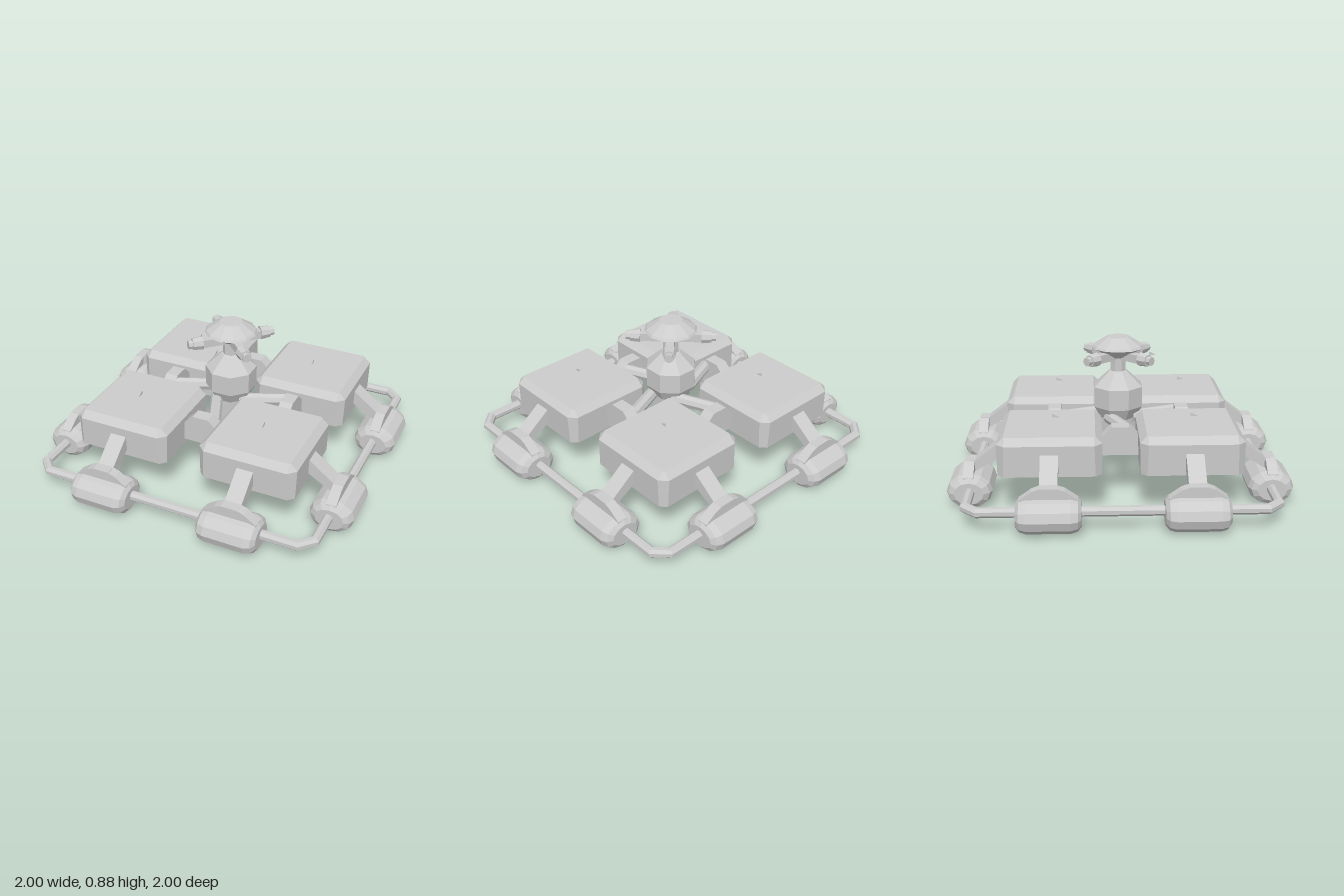
import * as THREE from 'three';

const grey = new THREE.MeshStandardMaterial({ color: 0xcccccc, flatShading: true, side: THREE.DoubleSide });

function add(parent, name, geo, x = 0, y = 0, z = 0) {
  const m = new THREE.Mesh(geo, grey);
  m.name = name;
  m.position.set(x, y, z);
  parent.add(m);
  return m;
}

// Polygon in the xy plane, extruded symmetrically along z
function slab(points, depth) {
  const shape = new THREE.Shape(points.map(p => new THREE.Vector2(...p)));
  return new THREE.ExtrudeGeometry(shape, { depth, bevelEnabled: false }).translate(0, 0, -depth / 2);
}

function lathe(points, sides) {
  return new THREE.LatheGeometry(points.map(p => new THREE.Vector2(...p)), sides);
}

// Square pod with chamfered corners, from [y, half width, chamfer] sections
function podGeometry(sections) {
  const pos = [], index = [];
  for (const [y, h, c] of sections) {
    const k = h - c;
    for (const [x, z] of [[h, -k], [h, k], [k, h], [-k, h], [-h, k], [-h, -k], [-k, -h], [k, -h]]) pos.push(x, y, z);
  }
  const last = (sections.length - 1) * 8;
  for (let s = 0; s < last; s += 8)
    for (let i = 0; i < 8; i++) {
      const a = s + i, b = s + (i + 1) % 8;
      index.push(a, a + 8, b, b, a + 8, b + 8);
    }
  for (let i = 1; i < 7; i++) index.push(0, i, i + 1, last, last + i + 1, last + i);
  const g = new THREE.BufferGeometry();
  g.setAttribute('position', new THREE.Float32BufferAttribute(pos, 3));
  g.setIndex(index);
  g.computeVertexNormals();
  return g;
}

// Mitred tube around a square with cut corners
function ringGeometry(a, b, r, sides) {
  const pos = [], index = [];
  for (let i = 0; i < 8; i++)
    for (let j = 0; j < sides; j++) {
      const t = (j + 0.5) / sides * Math.PI * 2, o = r * Math.cos(t);
      const A = a + o, B = b + 0.414 * o;
      const [x, z] = [[A, -B], [A, B], [B, A], [-B, A], [-A, B], [-A, -B], [-B, -A], [B, -A]][i];
      pos.push(x, r * Math.sin(t), z);
      const n = (j + 1) % sides, k = (i + 1) % 8;
      const p = i * sides + j, q = i * sides + n, u = k * sides + j, v = k * sides + n;
      index.push(p, q, u, q, v, u);
    }
  const g = new THREE.BufferGeometry();
  g.setAttribute('position', new THREE.Float32BufferAttribute(pos, 3));
  g.setIndex(index);
  g.computeVertexNormals();
  return g;
}

export function createModel() {
  const model = new THREE.Group();
  model.name = 'floatingPlatform';

  // Four storage pods with a tiny fin above each
  const pod = podGeometry([[0.25, 0.29, 0.035], [0.43, 0.295, 0.045], [0.47, 0.255, 0.008]]);
  const fin = new THREE.ShapeGeometry(new THREE.Shape([[0.045, 0.505], [0, 0.525], [0, 0.503]].map(p => new THREE.Vector2(...p)))).rotateY(-Math.PI / 2);
  for (const x of [-0.398, 0.398])
    for (const z of [-0.402, 0.395]) {
      add(model, 'pod', pod, x, 0, z);
      add(model, 'podFin', fin, x, 0, z + 0.01);
    }

  // Perimeter tube
  add(model, 'perimeterTube', ringGeometry(0.862, 0.79, 0.029, 8), 0, 0.12, 0);

  // Floats, fairings, struts and crossbars, repeated on the four sides
  const float = lathe([[0, -0.178], [0.085, -0.178], [0.118, -0.158], [0.132, -0.12],
    [0.132, 0.12], [0.118, 0.158], [0.085, 0.178], [0, 0.178]], 12)
    .rotateX(Math.PI / 2).scale(1, 0.77, 1);
  const fairing = slab([[-0.16, 0.17], [0.16, 0.17], [0.16, 0.2], [0.09, 0.25], [0.05, 0.264],
    [-0.05, 0.264], [-0.09, 0.25], [-0.16, 0.2]], 0.06).rotateY(Math.PI / 2);
  const strut = slab([[0.67, 0.3], [0.84, 0.2], [0.9, 0.2], [0.9, 0.265], [0.84, 0.265], [0.69, 0.38], [0.67, 0.38]], 0.1);
  const crossbar = slab([[-0.12, 0.28], [0.12, 0.28], [0.12, 0.385], [0.105, 0.395], [0.05, 0.45],
    [-0.05, 0.45], [-0.105, 0.395], [-0.12, 0.385]], 0.08).rotateY(Math.PI / 2);
  for (let i = 0; i < 4; i++) {
    const side = new THREE.Group();
    side.name = 'side';
    side.rotation.y = i * Math.PI / 2;
    for (const z of [-0.403, 0.403]) {
      add(side, 'float', float, 0.867, 0.11, z);
      add(side, 'floatFairing', fairing, 0.87, 0, z);
      add(side, 'floatStrut', strut, 0, 0, z);
    }
    add(side, 'crossbar', crossbar, 0.39, 0, 0);
    add(side, 'hubSpoke', new THREE.CylinderGeometry(0.038, 0.038, 0.3, 8).rotateX(Math.PI / 8).rotateZ(Math.PI / 2), 0.22, 0.4, 0);
    model.add(side);
  }

  // Octagonal central hub with neck
  const hub = lathe([[0, 0.25], [0.118, 0.25], [0.118, 0.39], [0.157, 0.46], [0.157, 0.585],
    [0.06, 0.675], [0.05, 0.68], [0.05, 0.78], [0, 0.78]], 8).rotateY(Math.PI / 8);
  add(model, 'hub', hub);

  // Domed head
  add(model, 'headDome', lathe([[0, 0.765], [0.06, 0.765], [0.13, 0.81], [0.16, 0.825], [0.15, 0.838],
    [0.07, 0.89], [0, 0.89]], 12));

  // Four diagonal nozzles around the head
  for (let i = 0; i < 4; i++) {
    const nozzle = new THREE.Group();
    nozzle.name = 'nozzle';
    nozzle.rotation.y = Math.PI / 4 + i * Math.PI / 2;
    add(nozzle, 'nozzleArm', new THREE.BoxGeometry(0.17, 0.05, 0.05), 0.12, 0.777, 0);
    add(nozzle, 'nozzleBody', new THREE.CylinderGeometry(0.036, 0.042, 0.06, 8).rotateZ(-Math.PI / 2), 0.215, 0.778, 0);
    add(nozzle, 'nozzleTip', new THREE.CylinderGeometry(0.027, 0.027, 0.03, 8).rotateZ(-Math.PI / 2), 0.257, 0.778, 0);
    model.add(nozzle);
  }
  // Small fin beside the head
  add(model, 'headFin', fin, 0, 0.267, 0.19);

  return model;
}
